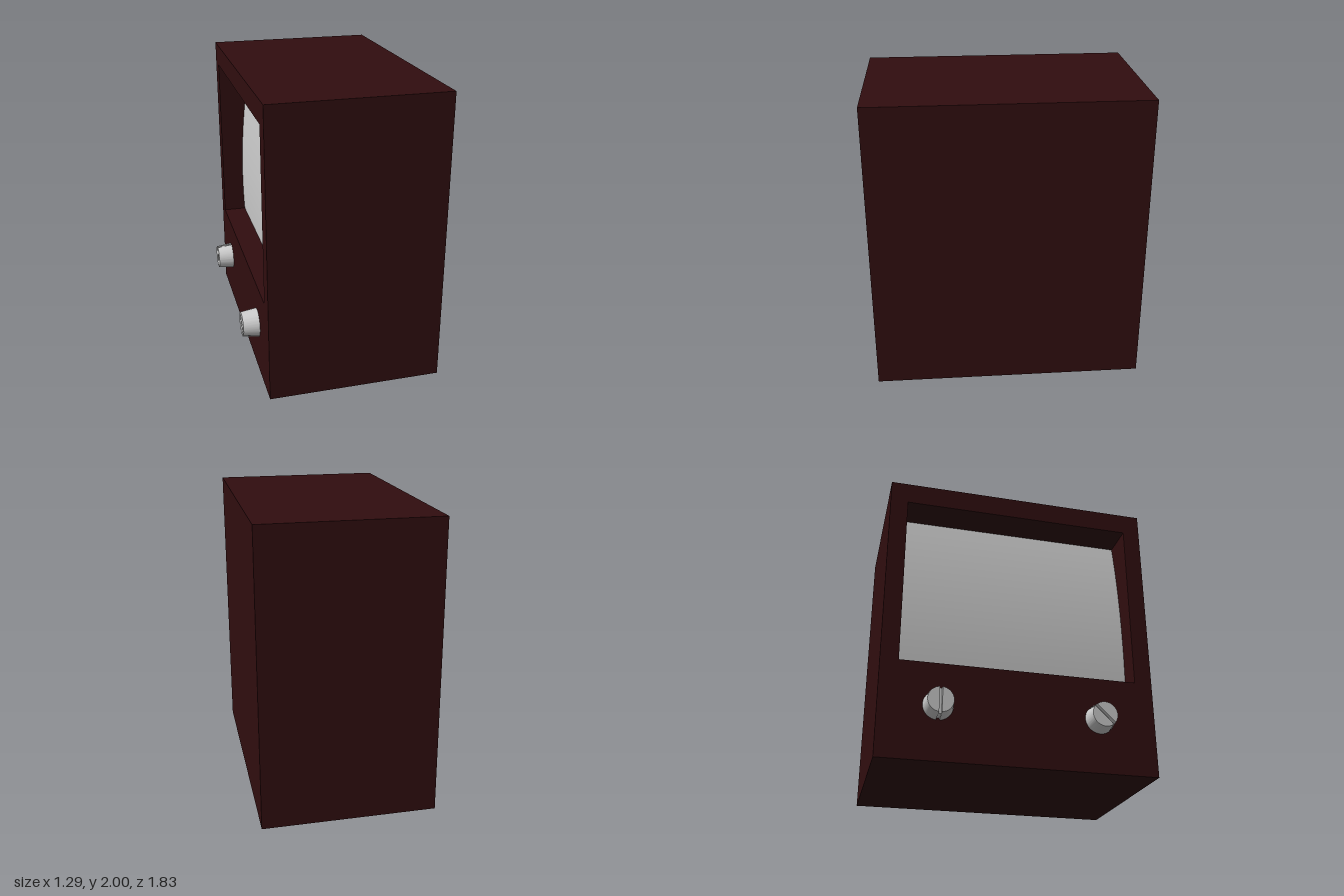
import * as THREE from 'three';
import { toCreasedNormals } from 'three/addons/utils/BufferGeometryUtils.js';

const wood = new THREE.MeshStandardMaterial({ color: 0x300d0f });
wood.name = 'dark wood';
const grey = new THREE.MeshStandardMaterial({ color: 0xcccccc });
grey.name = 'light grey';

const W = 1.83, H = 2, FRONT = 0.535, BACK = -0.645, RECESS = 0.3;
const OPEN = { w: 1.59, bottom: 0.65, top: 1.85 };

function add(parent, name, geometry, material, x = 0, y = 0, z = 0) {
  const mesh = new THREE.Mesh(geometry, material);
  mesh.name = name;
  mesh.position.set(x, y, z);
  parent.add(mesh);
  return mesh;
}

function rectangle(PathType, x0, y0, x1, y1) {
  const p = new PathType();
  p.moveTo(x0, y0);
  p.lineTo(x1, y0);
  p.lineTo(x1, y1);
  p.lineTo(x0, y1);
  p.closePath();
  return p;
}

// Tapered knob with a slot across its tip
function makeKnob(name, slotAngle) {
  const R = 0.098, LENGTH = 0.11, TAPER = 0.15, SLOT = 0.011, DEPTH = 0.03;
  const knob = new THREE.Group();
  knob.name = name;
  const a = Math.asin(SLOT / R);
  const shape = new THREE.Shape();
  shape.absarc(0, 0, R, a, Math.PI - a, false);
  shape.closePath();
  let half = new THREE.ExtrudeGeometry(shape, { depth: LENGTH, bevelEnabled: false, curveSegments: 20 });
  const p = half.attributes.position;
  for (let i = 0; i < p.count; i++) {
    const s = 1 - TAPER * p.getZ(i) / LENGTH;
    p.setXY(i, p.getX(i) * s, p.getY(i) * s);
  }
  half = toCreasedNormals(half, 0.6);
  add(knob, 'knobHalf', half, grey);
  add(knob, 'knobHalf', half, grey).rotation.z = Math.PI;
  const core = LENGTH - DEPTH;
  add(knob, 'slotFloor', new THREE.BoxGeometry(R * 1.74, SLOT * 2, core), grey, 0, 0, core / 2);
  knob.rotation.z = slotAngle;
  return knob;
}

export function createModel() {
  const model = new THREE.Group();
  model.name = 'television';
  const set = new THREE.Group();
  set.name = 'set';
  set.rotation.y = -Math.PI / 2; // the screen side looks towards -x
  model.add(set);

  // Cabinet: solid rear and a front frame around the screen recess
  const rearDepth = FRONT - RECESS - BACK;
  add(set, 'cabinetRear', new THREE.BoxGeometry(W, H, rearDepth), wood, 0, H / 2, BACK + rearDepth / 2);
  const face = rectangle(THREE.Shape, -W / 2, 0, W / 2, H);
  face.holes.push(rectangle(THREE.Path, -OPEN.w / 2, OPEN.bottom, OPEN.w / 2, OPEN.top));
  add(set, 'cabinetFrame', new THREE.ExtrudeGeometry(face, { depth: RECESS, bevelEnabled: false }),
    wood, 0, 0, FRONT - RECESS);

  // Screen: gently curved back towards the top
  const screen = new THREE.PlaneGeometry(OPEN.w, OPEN.top - OPEN.bottom, 1, 20);
  screen.translate(0, (OPEN.top + OPEN.bottom) / 2, 0);
  const p = screen.attributes.position;
  for (let i = 0; i < p.count; i++) p.setZ(i, -0.155 - 0.1 * (p.getY(i) - 0.93) ** 2);
  screen.computeVertexNormals();
  add(set, 'screen', screen, grey, 0, 0, FRONT);

  // Two knobs below the screen, turned differently
  for (const [name, x, angle] of [['volumeKnob', -0.535, Math.PI / 2], ['tuningKnob', 0.53, -Math.PI / 4]]) {
    const knob = makeKnob(name, angle);
    knob.position.set(x, 0.363, FRONT);
    set.add(knob);
  }
  return model;
}
